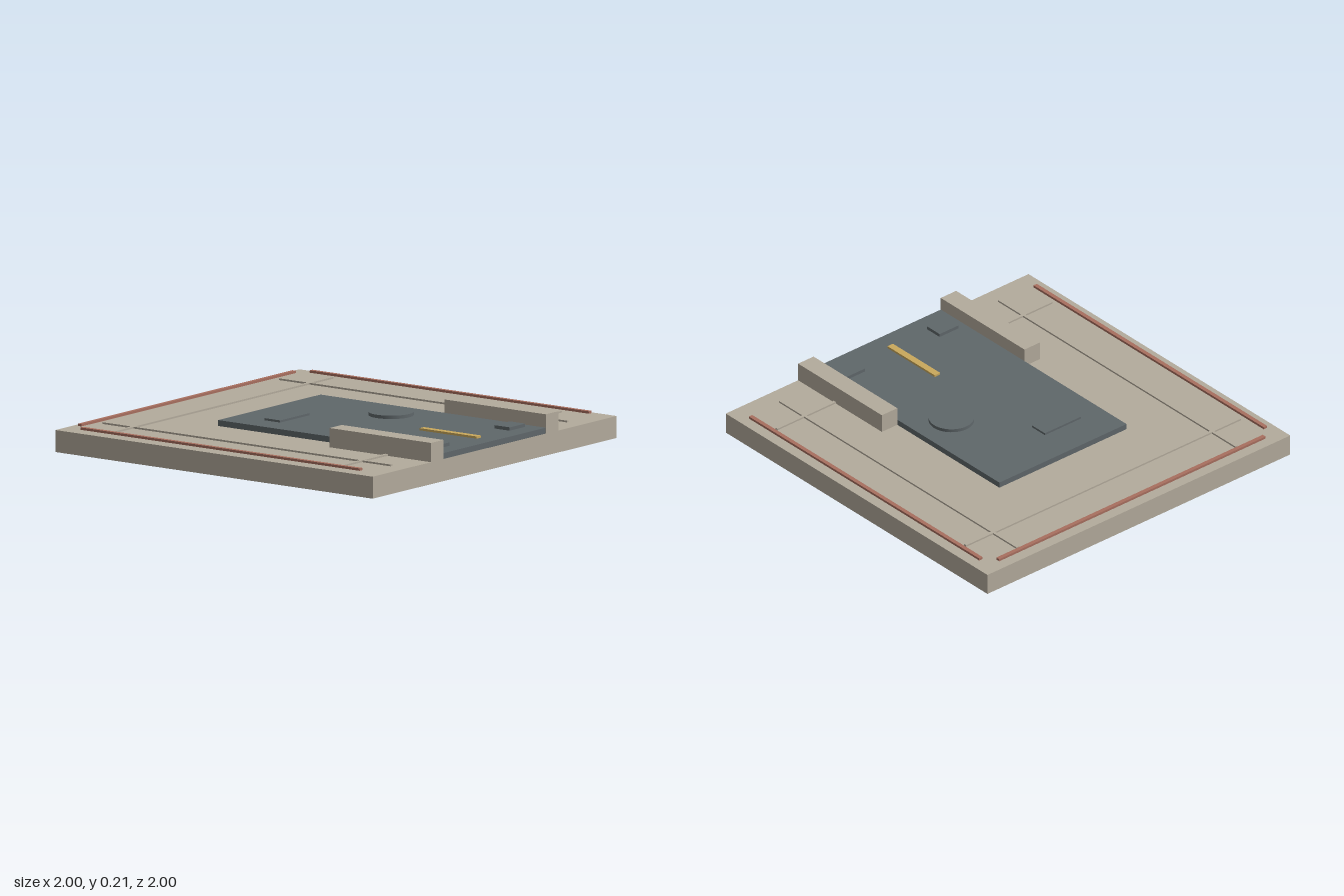
import * as THREE from 'three';

const mat = (name, color) => {
  const m = new THREE.MeshStandardMaterial({ color });
  m.name = name;
  return m;
};

export function createModel() {
  const stone = mat('stone', 0xb3ab9c);
  const slate = mat('slate', 0x5f676a);
  const brass = mat('brass', 0xc9a85c);
  const rust = mat('rust', 0xa86f5f);

  const model = new THREE.Group();
  model.name = 'pavedTile';

  // Box given by its x, y and z ranges
  const box = (name, material, [x0, x1], [y0, y1], [z0, z1]) => {
    const mesh = new THREE.Mesh(new THREE.BoxGeometry(x1 - x0, y1 - y0, z1 - z0), material);
    mesh.position.set((x0 + x1) / 2, (y0 + y1) / 2, (z0 + z1) / 2);
    mesh.name = name;
    model.add(mesh);
  };

  const ground = 0.112, deck = 0.142;

  // Base and the dark driveway slab
  box('base', stone, [-1, 1], [0, ground], [-1, 1]);
  box('drivewaySlab', slate, [-0.42, 0.42], [ground, deck], [-0.42, 0.999]);

  // Mirrored parts: kerbs, seams, edge rails and corner pads
  for (const s of [-1, 1]) {
    const side = s < 0 ? 'right' : 'left';
    const span = (a, b) => (s < 0 ? [-b, -a] : [a, b]);
    box(side + 'Kerb', stone, span(0.42, 0.522), [ground, 0.21], [0.36, 1]);
    box(side + 'Seam', stone, span(0.715, 0.731), [ground, 0.121], [-0.91, 0.905]);
    box(side + 'EdgeRail', rust, span(0.929, 0.951), [0.12, 0.132], [-0.88, 0.88]);
    box(side + 'CornerPad', slate, span(0.247, 0.373), [deck, 0.159], [0.808, 0.905]);
  }

  // Cross seams and back rail
  box('backSeam', stone, [-0.908, 0.908], [ground, 0.121], [-0.731, -0.715]);
  box('frontSeam', stone, [-0.908, 0.908], [ground, 0.121], [0.712, 0.728]);
  box('backEdgeRail', rust, [-0.88, 0.88], [0.12, 0.132], [-0.951, -0.929]);

  // Driveway details
  box('centreStripe', brass, [-0.018, 0.018], [deck, 0.153], [0.54, 0.9]);
  box('hatchPlate', slate, [-0.283, -0.043], [deck, 0.153], [-0.232, -0.134]);
  const cover = new THREE.Mesh(new THREE.CylinderGeometry(0.114, 0.114, 0.017, 40), slate);
  cover.position.set(0.218, deck + 0.0085, 0.18);
  cover.name = 'roundCover';
  model.add(cover);

  return model;
}
